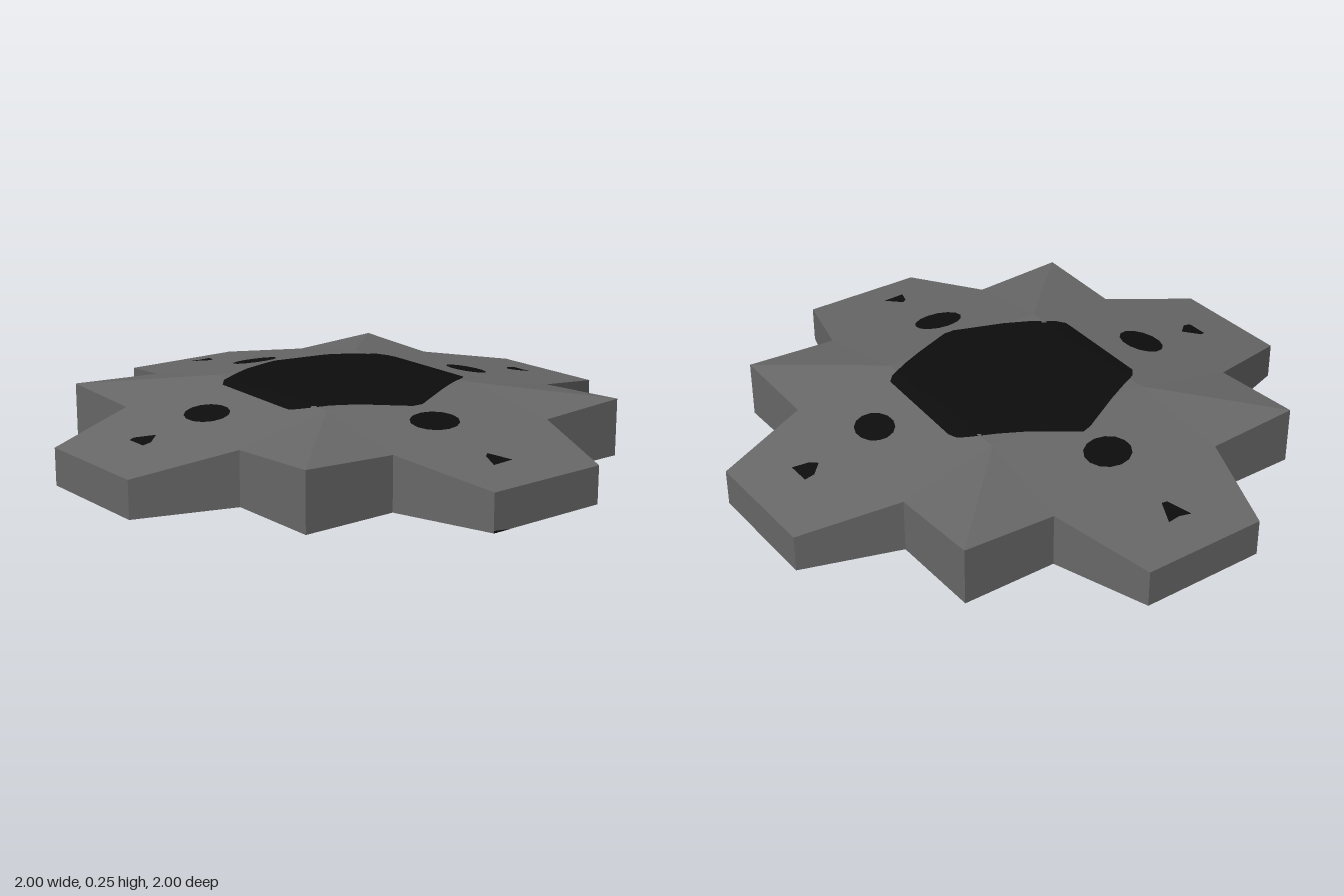
import * as THREE from 'three';

const TOP = 0.245, CORE = 0.31, SLOPE = 0.171;

// Height of the raised deck: flat in the middle, sloping down along each arm
const deck = (x, z) => TOP - SLOPE * Math.max(0, Math.max(Math.abs(x), Math.abs(z)) - CORE);

// Flat-shaded mesh from convex polygons, each given as a list of [x, y, z] corners
function facets(name, polygons, material) {
  const pos = [];
  for (const p of polygons)
    for (let i = 1; i < p.length - 1; i++) pos.push(...p[0], ...p[i], ...p[i + 1]);
  const geo = new THREE.BufferGeometry();
  geo.setAttribute('position', new THREE.Float32BufferAttribute(pos, 3));
  geo.computeVertexNormals();
  const mesh = new THREE.Mesh(geo, material);
  mesh.name = name;
  return mesh;
}

// Spot draped over the deck, as a fan of rings around its centre
function spot(name, outline, material, lift) {
  const edge = [];
  outline.forEach(([x, z], i) => {
    const [x2, z2] = outline[(i + 1) % outline.length];
    for (let s = 0; s < 4; s++) edge.push([x + (x2 - x) * s / 4, z + (z2 - z) * s / 4]);
  });
  const n = edge.length, rings = 16;
  const cx = edge.reduce((a, p) => a + p[0], 0) / n;
  const cz = edge.reduce((a, p) => a + p[1], 0) / n;
  const at = (i, r) => {
    const [ex, ez] = edge[i % n];
    const x = cx + (ex - cx) * r / rings, z = cz + (ez - cz) * r / rings;
    return [x, deck(x, z) + lift, z];
  };
  const polygons = [];
  // outlines run clockwise seen from above, so the corners are listed in reverse
  for (let i = 0; i < n; i++)
    for (let r = 0; r < rings; r++)
      polygons.push(r ? [at(i, r), at(i + 1, r), at(i + 1, r + 1), at(i, r + 1)]
        : [at(i, 0), at(i + 1, 1), at(i, 1)]);
  return facets(name, polygons, material);
}

const oval = (x, z, rx, rz) => Array.from({ length: 14 }, (_, i) => {
  const a = i / 14 * Math.PI * 2;
  return [x + rx * Math.cos(a), z + rz * Math.sin(a)];
});

export function createModel() {
  const grey = new THREE.MeshStandardMaterial({ color: 0x686868, side: THREE.DoubleSide });
  grey.name = 'grey';
  const black = new THREE.MeshStandardMaterial({ color: 0x0d0d0d, side: THREE.DoubleSide });
  black.name = 'black';
  const model = new THREE.Group();
  model.name = 'crossPlate';

  // Flat centre
  const c = CORE;
  model.add(facets('centreDeck', [[[-c, TOP, -c], [-c, TOP, c], [c, TOP, c], [c, TOP, -c]]], grey));

  // Four identical quarters: an arm, a ridged corner and the skirt, open below
  const on = (x, z) => [x, deck(x, z), z];
  const rim = [on(-0.33, 0.665), on(-0.222, 1), on(0.222, 1), on(0.33, 0.665),
    [0.665, 0.2, 0.665], on(0.665, 0.33)];
  const inner = on(c, c);
  const walls = rim.slice(1).map((q, i) => {
    const p = rim[i];
    return [[p[0], 0, p[2]], [q[0], 0, q[2]], q, p];
  });
  for (let k = 0; k < 4; k++) {
    const quarter = new THREE.Group();
    quarter.name = 'quarter' + (k + 1);
    quarter.add(
      facets('armDeck', [[on(-c, c), rim[0], rim[1], rim[2], rim[3], inner]], grey),
      facets('cornerDeck', [[inner, rim[3], rim[4]], [inner, rim[4], rim[5]]], grey),
      facets('skirt', walls, grey));
    quarter.rotation.y = k * Math.PI / 2;
    model.add(quarter);
  }

  // Dark markings, shown on the deck and on its underside
  const marks = {
    centreHexagon: [[-0.4, -0.01], [-0.22, -0.34], [-0.195, -0.37], [-0.16, -0.38], [0.225, -0.36],
      [0.25, -0.335], [0.4, -0.02], [0.4, 0.02], [0.23, 0.345], [0.2, 0.375], [0.17, 0.375],
      [-0.2, 0.36], [-0.235, 0.33], [-0.39, 0.025]],
    backOval: oval(0.055, -0.53, 0.08, 0.064),
    rightOval: oval(-0.515, 0, 0.07, 0.086),
    leftOval: oval(0.523, 0.035, 0.07, 0.09),
    frontOval: oval(-0.023, 0.545, 0.089, 0.07),
    backTriangle: [[-0.01, -0.835], [0.075, -0.835], [0.055, -0.78], [0.03, -0.76], [-0.01, -0.8]],
    rightTriangle: [[-0.865, -0.035], [-0.787, 0], [-0.79, 0.02], [-0.87, 0.052], [-0.86, 0.01]],
    leftTriangle: [[0.785, 0.05], [0.855, 0.01], [0.86, 0.093], [0.8, 0.07]],
    frontTriangle: [[-0.01, 0.75], [0.03, 0.795], [0.03, 0.825], [-0.05, 0.825], [-0.055, 0.805]],
  };
  for (const [name, outline] of Object.entries(marks))
    model.add(spot(name, outline, black, 0.003), spot(name + 'Underside', outline, black, -0.003));

  // Small dark fleck at the foot of the left arm
  model.add(facets('fleck', [[[1.001, 0, 0.222], [1.001, 0, 0.15], [1.001, 0.008, 0.222]]], black));
  return model;
}
